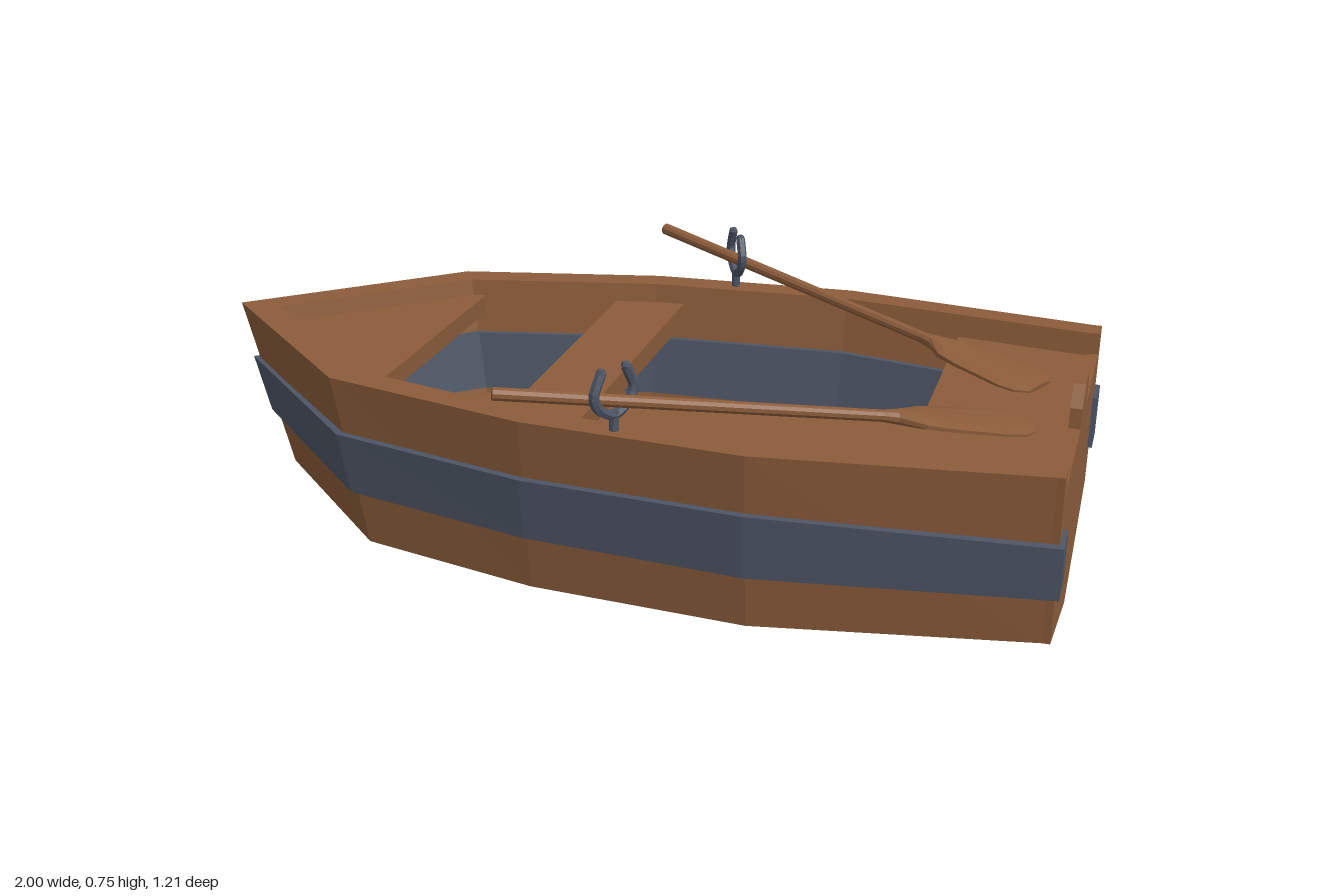
import * as THREE from 'three';

const wood = new THREE.MeshStandardMaterial({ color: 0x8b5c3a, flatShading: true });
wood.name = 'wood';
const iron = new THREE.MeshStandardMaterial({ color: 0x4d5565, flatShading: true });
iron.name = 'slate blue';

// Stations from bow to stern: [x, z] of the wall at the gunwale and at the chine
const TOP_Y = 0.61, FLOOR_Y = 0.32;
const stations = [
  { top: [-1, 0], chine: [-0.89, 0], inner: [-0.9, 0], chineY: 0.21, keel: [-0.89, 0.21], normal: [-1, 0], band: [0.475, 0.34] },
  { top: [-0.575, 0.39], chine: [-0.52, 0.355], inner: [-0.54, 0.33], chineY: 0.21, keel: [-0.55, 0.07], normal: [-0.5, 0.87], band: [0.48, 0.34] },
  { top: [-0.1, 0.5], chine: [-0.1, 0.45], inner: [-0.09, 0.435], chineY: 0.21, keel: [-0.1, 0.01], normal: [-0.1, 1], band: [0.48, 0.34] },
  { top: [0.38, 0.53], chine: [0.38, 0.48], inner: [0.38, 0.465], chineY: 0.21, keel: [0.38, 0], normal: [0, 1], band: [0.48, 0.335] },
  { top: [0.97, 0.45], chine: [0.97, 0.41], inner: [0.97, 0.39], chineY: 0.232, keel: [0.97, 0.115], normal: [0, 1], band: [0.463, 0.345] },
];

// Point on the outer or inner face of the wall at height y, pushed out by d
function wall(st, y, d, inside) {
  const k = (TOP_Y - y) / (TOP_Y - st.chineY);
  const from = inside ? st.inner : st.top;
  const x = from[0] + (st.chine[0] - st.top[0]) * k + st.normal[0] * d;
  const z = from[1] + (st.chine[1] - st.top[1]) * k + st.normal[1] * d;
  return [x, y, z];
}

// Skin over closed sections ordered along +x, each counter-clockwise seen from +x
function loft(sections, caps) {
  const pos = [];
  const tri = (a, b, c) => pos.push(...a, ...b, ...c);
  const n = sections[0].length;
  for (let i = 0; i < sections.length - 1; i++) {
    for (let j = 0; j < n; j++) {
      const k = (j + 1) % n;
      const [a, b, c, d] = [sections[i][j], sections[i][k], sections[i + 1][k], sections[i + 1][j]];
      tri(a, b, c);
      tri(a, c, d);
    }
  }
  if (caps) {
    const s = sections[0], e = sections[sections.length - 1];
    for (let j = 1; j < n - 1; j++) {
      tri(s[0], s[j + 1], s[j]);
      tri(e[0], e[j], e[j + 1]);
    }
  }
  const g = new THREE.BufferGeometry();
  g.setAttribute('position', new THREE.Float32BufferAttribute(pos, 3));
  g.computeVertexNormals();
  return g;
}

function add(parent, name, geometry, material) {
  const m = new THREE.Mesh(geometry, material);
  m.name = name;
  parent.add(m);
  return m;
}

// Flat board from half an outline [x, z], mirrored across the centre line
function plank(half, top, thick) {
  const pts = [...half, ...half.slice().reverse().map(([x, z]) => [x, -z])];
  const shape = new THREE.Shape(pts.map(([x, z]) => new THREE.Vector2(x, z)));
  const g = new THREE.ExtrudeGeometry(shape, { depth: thick, bevelEnabled: false });
  g.rotateX(-Math.PI / 2);
  g.translate(0, top - thick, 0);
  return g;
}

// Fork-shaped rowlock standing on its own origin
function makeRowlock() {
  const g = new THREE.Group();
  const stem = add(g, 'rowlockStem', new THREE.CylinderGeometry(0.01, 0.01, 0.05, 8), iron);
  stem.position.y = 0.018;
  const half = [[0.02, 0.04], [0.043, 0.058], [0.053, 0.085], [0.044, 0.108], [0.033, 0.13]];
  const pts = [...half.slice().reverse().map(([x, y]) => [-x, y]), [0, 0.033], ...half];
  const curve = new THREE.CatmullRomCurve3(pts.map(([x, y]) => new THREE.Vector3(x, y, 0)));
  add(g, 'rowlockFork', new THREE.TubeGeometry(curve, 24, 0.011, 6), iron);
  for (const s of [-1, 1]) {
    const tip = add(g, 'rowlockTip', new THREE.SphereGeometry(0.011, 6, 4), iron);
    tip.position.set(s * 0.033, 0.13, 0);
  }
  return g;
}

// Oar along +x: [distance, half width, half thickness]
function oarGeometry() {
  const profile = [
    [0, 0.014, 0.014], [0.8, 0.013, 0.013], [0.83, 0.02, 0.016], [0.88, 0.055, 0.015],
    [0.93, 0.066, 0.012], [1.05, 0.077, 0.009], [1.09, 0.07, 0.008], [1.115, 0.045, 0.006],
  ];
  const sides = 10;
  return loft(profile.map(([x, w, h]) => Array.from({ length: sides }, (_, i) => {
    const a = (i / sides) * Math.PI * 2;
    return [x, Math.cos(a) * h, Math.sin(a) * w];
  })), true);
}

export function createModel() {
  const boat = new THREE.Group();
  boat.name = 'rowingBoat';
  const flip = ([x, y, z]) => [x, y, -z];

  // Hull: outer sides, V bottom, gunwale, inner sides and floor
  add(boat, 'hull', loft(stations.map((st) => {
    const out = [wall(st, TOP_Y, 0), wall(st, st.chineY, 0)];
    const inn = [wall(st, FLOOR_Y, 0, true), wall(st, TOP_Y, 0, true)];
    const keel = [st.keel[0], st.keel[1], 0];
    return [...out, keel, flip(out[1]), flip(out[0]), flip(inn[1]), flip(inn[0]), ...inn];
  }), false), wood);

  // Transom with a raised sculling tab
  const side = [[0.41, 0.232], [0.45, 0.61], [0.392, 0.61], [0.392, 0.56], [0.075, 0.56], [0.075, 0.605], [0.058, 0.625], [0.035, 0.646]];
  const outline = [[0, 0.115], ...side, ...side.slice().reverse().map(([z, y]) => [-z, y])];
  const transom = new THREE.ExtrudeGeometry(
    new THREE.Shape(outline.map(([z, y]) => new THREE.Vector2(z, y))), { depth: 0.025, bevelEnabled: false });
  transom.rotateY(Math.PI / 2);
  transom.translate(0.96, 0, 0);
  add(boat, 'transom', transom, wood);

  // Seats
  add(boat, 'bowDeck', plank([[-0.9, 0.005], [-0.54, 0.335], [-0.505, 0.343]], 0.572, 0.045), wood);
  add(boat, 'middleSeat', plank([[-0.185, 0.42], [-0.09, 0.438], [-0.02, 0.442]], 0.565, 0.05), wood);
  add(boat, 'sternSeat', plank([[0.66, 0.43], [0.965, 0.395]], 0.557, 0.045), wood);

  for (const s of [1, -1]) {
    const label = s > 0 ? 'left' : 'right';

    // Rubbing strake standing proud of both wall faces
    add(boat, label + 'Strake', loft(stations.map((st, i) => {
      const [hi, lo] = st.band;
      const loop = [wall(st, hi, 0.017), wall(st, lo, 0.017), wall(st, lo, -0.014, true), wall(st, hi, -0.014, true)];
      if (i === stations.length - 1) loop.forEach((p) => { p[0] = 0.995; });
      return s > 0 ? loop : loop.map(flip).reverse();
    }), true), iron);

    // Rowlock
    const lock = makeRowlock();
    lock.name = label + 'Rowlock';
    lock.position.set(0.1, TOP_Y, s * 0.482);
    lock.rotation.y = s * 1.05;
    boat.add(lock);

    // Oar resting in the rowlock, blade on the stern seat
    const dir = new THREE.Vector3(1, -0.132, -0.485 * s).normalize();
    const across = new THREE.Vector3().crossVectors(dir, new THREE.Vector3(0, 1, 0)).normalize();
    const up = new THREE.Vector3().crossVectors(across, dir);
    const oar = add(boat, label + 'Oar', oarGeometry(), wood);
    oar.quaternion.setFromRotationMatrix(new THREE.Matrix4().makeBasis(dir, up, across));
    oar.position.set(-0.115, 0.705, s * 0.593);
  }
  return boat;
}
